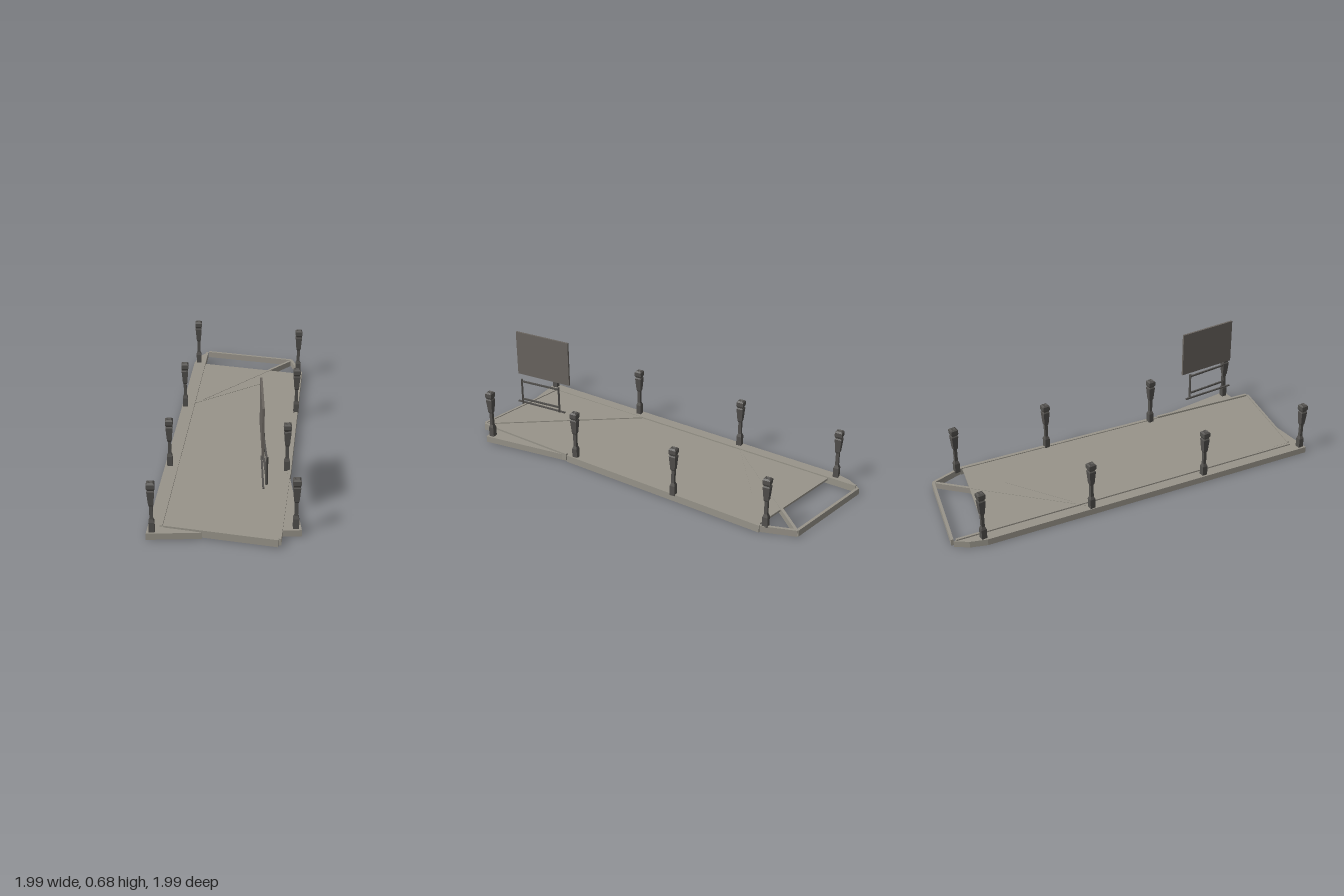
import * as THREE from 'three';

export function createModel() {
  const model = new THREE.Group();
  const material = (name, color) => {
    const m = new THREE.MeshStandardMaterial({ color });
    m.name = name;
    return m;
  };
  const concrete = material('warm grey', 0x98948a);
  const darkMetal = material('dark metal', 0x53514e);
  const panelGrey = material('panel grey', 0x69645f);

  const add = (name, geometry, mat) => {
    const mesh = new THREE.Mesh(geometry, mat);
    mesh.name = name;
    model.add(mesh);
    return mesh;
  };

  // Horizontal slab from an [x, z] outline
  const slab = (name, outline, y0, y1) => {
    const shape = new THREE.Shape(outline.map(([x, z]) => new THREE.Vector2(x, -z)));
    const g = new THREE.ExtrudeGeometry(shape, { depth: y1 - y0, bevelEnabled: false });
    g.rotateX(-Math.PI / 2).translate(0, y0, 0);
    return add(name, g, concrete);
  };

  // Level box between two [x, z] points
  const bar = (name, [x0, z0], [x1, z1], y0, y1, width, mat) => {
    const g = new THREE.BoxGeometry(Math.hypot(x1 - x0, z1 - z0), y1 - y0, width);
    g.rotateY(-Math.atan2(z1 - z0, x1 - x0));
    g.translate((x0 + x1) / 2, (y0 + y1) / 2, (z0 + z1) / 2);
    return add(name, g, mat);
  };

  // Deck and its slightly raised front corner
  slab('deck', [[-0.865, -0.515], [-0.36, -0.88], [-0.34, -0.9], [0.54, 0.03], [0.99, 0.52], [0.51, 0.89]], 0.03, 0.042);
  slab('frontCornerDeck', [[0.03, 0.4], [0.995, 0.52], [0.51, 0.89]], 0.038, 0.048);

  // Edge beams with their projecting corners
  slab('longBeam', [[-0.995, -0.645], [-0.975, -0.56], [-0.925, -0.475], [0.5, 0.995], [0.68, 0.77], [0.51, 0.885]], 0.004, 0.042);
  slab('sideCorner', [[0.54, 0.03], [0.995, 0.365], [0.88, 0.51]], 0.004, 0.042);
  bar('longRail', [-0.985, -0.635], [0.5, 0.895], 0.012, 0.05, 0.014, concrete);
  bar('sideBeam', [-0.35, -0.905], [0.545, 0.035], 0.004, 0.047, 0.02, concrete);
  bar('sideRail', [0.55, 0.04], [0.99, 0.515], 0.012, 0.053, 0.016, concrete);
  bar('frontBeam', [0.51, 0.885], [0.99, 0.525], 0.01, 0.053, 0.014, concrete);

  // Open frame at the back
  bar('backBeam', [-0.99, -0.655], [-0.53, -0.99], 0.008, 0.046, 0.016, concrete);
  bar('backCornerBeam', [-0.53, -0.99], [-0.35, -0.905], 0.008, 0.046, 0.016, concrete);
  bar('diagonalBrace', [-0.527, -0.985], [-0.465, -0.08], 0.008, 0.044, 0.016, concrete);
  bar('deckSeam', [-0.4, -0.59], [-0.465, -0.1], 0.038, 0.044, 0.008, concrete);

  // Square lamp posts with a flared head
  const profile = [
    [0, 0.04], [0.022, 0.04], [0.022, 0.1], [0.013, 0.118], [0.013, 0.195],
    [0.019, 0.205], [0.028, 0.285], [0.022, 0.292], [0.03, 0.305], [0.03, 0.328], [0.018, 0.336], [0, 0.33],
  ].map(([r, y]) => new THREE.Vector2(r, y));
  const post = new THREE.LatheGeometry(profile, 4).toNonIndexed();
  post.rotateY(0.1);
  post.computeVertexNormals();
  const spots = [
    [-0.915, -0.505], [-0.38, -0.91], [0.03, -0.505], [0.5, 0.01],
    [0.955, 0.37], [0.5, 0.955], [0.033, 0.475], [-0.475, -0.04],
  ];
  for (const [x, z] of spots) add('lampPost', post, darkMetal).position.set(x, 0, z);

  // Hanging panel
  bar('panel', [0.498, 0.21], [0.772, 0.44], 0.41, 0.68, 0.012, panelGrey);

  // Small rack below the panel
  const rackA = [0.56, 0.245], rackB = [0.76, 0.402];
  bar('rackFoot', [0.53, 0.23], [0.782, 0.443], 0.22, 0.228, 0.01, darkMetal);
  bar('rackLowerBar', rackA, rackB, 0.25, 0.259, 0.01, darkMetal);
  bar('rackUpperBar', rackA, rackB, 0.367, 0.376, 0.01, darkMetal);
  for (const [x, z] of [rackA, rackB]) {
    add('rackLeg', new THREE.BoxGeometry(0.011, 0.163, 0.011), darkMetal).position.set(x, 0.3035, z);
  }

  return model;
}
